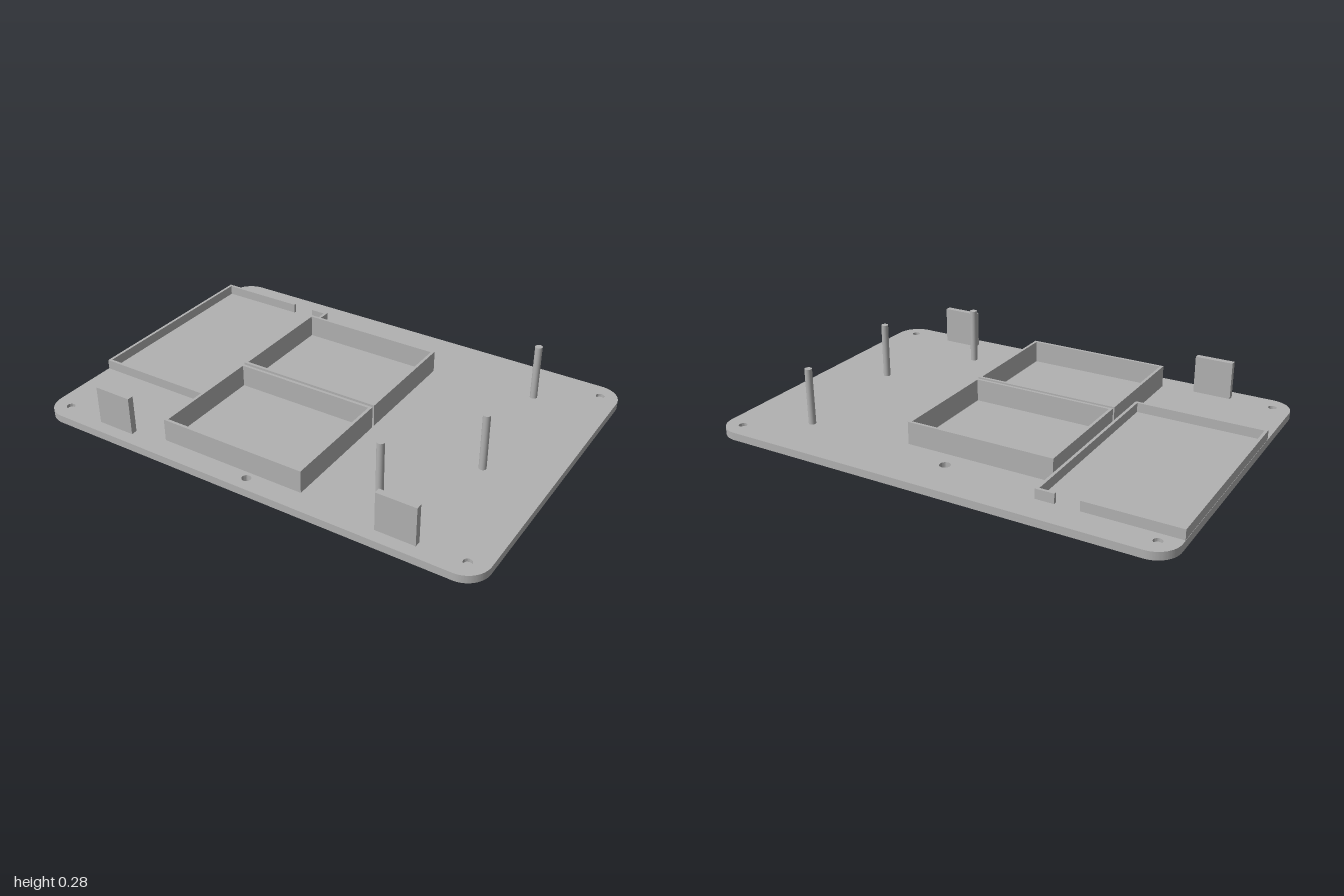
import * as THREE from 'three';
import { toCreasedNormals } from 'three/addons/utils/BufferGeometryUtils.js';

const W = 1, D = 0.705, R = 0.1, TOP = 0.033, WALL = 0.0125;

// Shapes are drawn as (x, -z) and extruded upwards
function extrudeUp(shape, y0, y1) {
  const g = new THREE.ExtrudeGeometry(shape, { depth: y1 - y0, bevelEnabled: false, curveSegments: 16 });
  g.rotateX(-Math.PI / 2).translate(0, y0, 0);
  return toCreasedNormals(g, 0.6);
}

function roundedOutline() {
  const s = new THREE.Shape();
  s.absarc(W - R, D - R, R, 0, Math.PI / 2);
  s.absarc(-W + R, D - R, R, Math.PI / 2, Math.PI);
  s.absarc(-W + R, -D + R, R, Math.PI, Math.PI * 1.5);
  s.absarc(W - R, -D + R, R, Math.PI * 1.5, Math.PI * 2);
  s.closePath();
  return s;
}

function circle(x, z, r) {
  return new THREE.Path().absarc(x, -z, r, 0, Math.PI * 2, true);
}

function rectangle(Type, x0, x1, z0, z1) {
  return new Type([[x0, -z1], [x1, -z1], [x1, -z0], [x0, -z0]].map(p => new THREE.Vector2(...p)));
}

export function createModel() {
  const model = new THREE.Group();
  model.name = 'mountingPlate';
  const grey = new THREE.MeshStandardMaterial({ color: 0xb2b2b2 });
  grey.name = 'grey';

  const add = (name, geometry, parent = model) => {
    const mesh = new THREE.Mesh(geometry, grey);
    mesh.name = name;
    parent.add(mesh);
    return mesh;
  };
  const block = (name, x0, x1, y1, z0, z1, parent) => add(name,
    new THREE.BoxGeometry(x1 - x0, y1 - TOP, z1 - z0)
      .translate((x0 + x1) / 2, (TOP + y1) / 2, (z0 + z1) / 2), parent);

  // Base plate: wide recesses below, thin web, small sockets above
  const base = new THREE.Group();
  base.name = 'basePlate';
  model.add(base);
  const layers = [
    ['recessLayer', 0, 0.016, 0.058],
    ['webLayer', 0.016, 0.019, 0],
    ['socketLayer', 0.019, TOP, 0.018],
  ];
  for (const [name, y0, y1, r] of layers) {
    const s = roundedOutline();
    s.holes.push(circle(0, -0.517, 0.023), circle(0, 0.645, 0.019));
    if (r) for (const x of [-0.92, 0.92]) for (const z of [-0.628, 0.628]) s.holes.push(circle(x, z, r));
    add(name, extrudeUp(s, y0, y1), base);
  }

  // Two tall square frames
  for (const [name, z0, z1] of [['backFrame', -0.436, 0.081], ['frontFrame', 0.095, 0.611]]) {
    const x0 = -0.422, x1 = 0.225;
    const s = rectangle(THREE.Shape, x0, x1, z0, z1);
    s.holes.push(rectangle(THREE.Path, x0 + WALL, x1 - WALL, z0 + WALL, z1 - WALL));
    add(name, extrudeUp(s, TOP, 0.13), model);
  }

  // Low tray with a gap in its back wall
  const tray = new THREE.Group();
  tray.name = 'lowTray';
  model.add(tray);
  const x0 = -0.999, x1 = -0.424, z0 = -0.58, z1 = 0.311, h = 0.075;
  block('outerWall', x0, x0 + WALL, h, z0, z1, tray);
  block('innerWall', x1 - WALL, x1, h, z0, z1, tray);
  block('frontWall', x0 + WALL, x1 - WALL, h, z1 - WALL, z1, tray);
  block('backWallLong', x0 + WALL, -0.605, h, z0, z0 + WALL, tray);
  block('backWallShort', -0.503, x1 - WALL, h, z0, z0 + WALL, tray);

  // Upright tabs along the front edge
  block('rightTab', -0.731, -0.564, 0.198, 0.624, 0.651);
  block('leftTab', 0.564, 0.731, 0.198, 0.624, 0.651);

  // Slim round posts
  for (const [x, z] of [[0.683, -0.472], [0.725, 0.109], [0.481, 0.473]]) {
    add('post', new THREE.CylinderGeometry(0.0155, 0.0155, 0.276 - TOP, 24)
      .translate(x, (0.276 + TOP) / 2, z));
  }
  return model;
}
